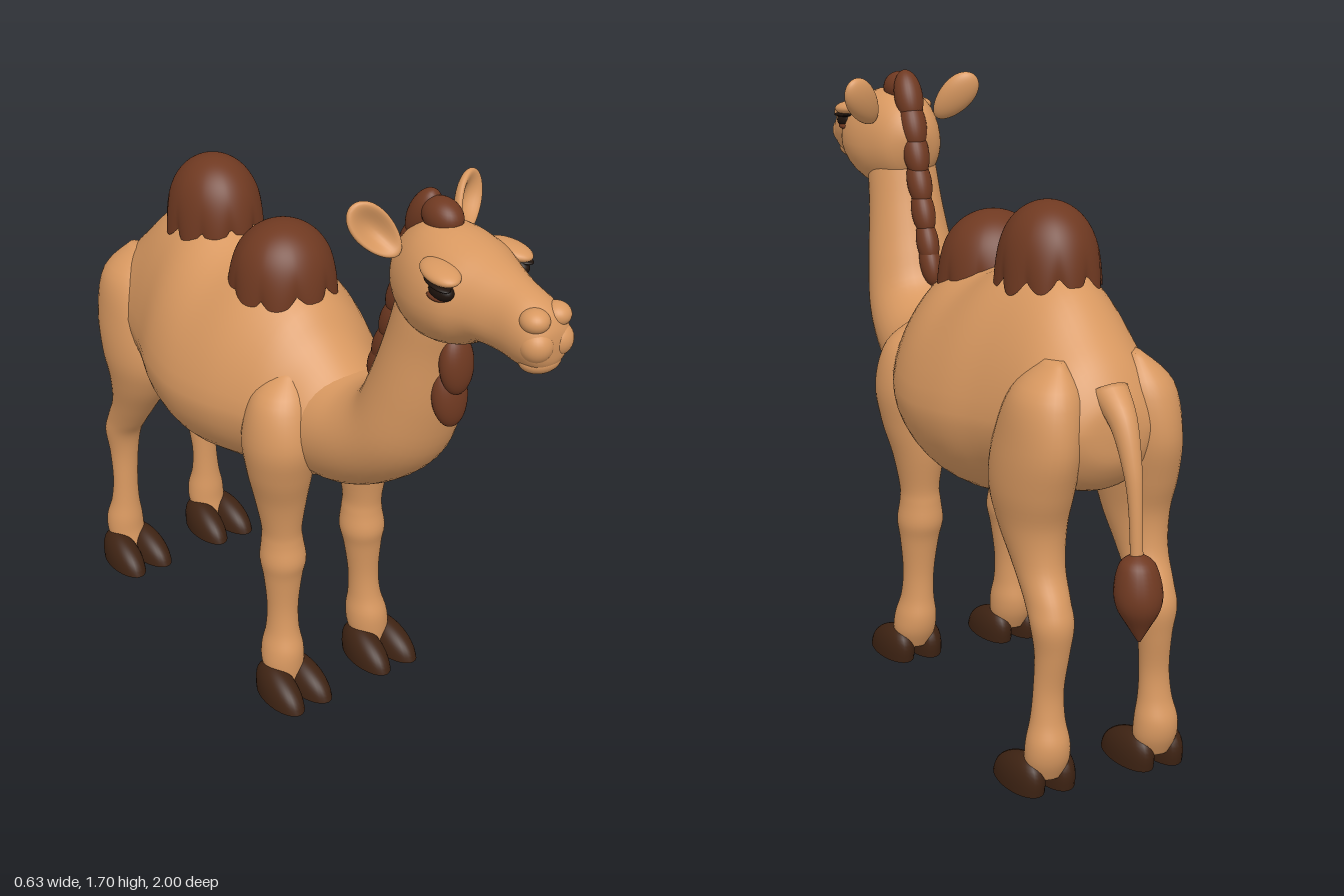
import * as THREE from 'three';
import { mergeVertices } from 'three/addons/utils/BufferGeometryUtils.js';

const mat = (name, color, side = THREE.FrontSide) => {
  const m = new THREE.MeshStandardMaterial({ color, side });
  m.name = name;
  return m;
};

// Smooth interpolation between number rows
function spline(rows, sub) {
  const out = [];
  const at = (i) => rows[Math.min(rows.length - 1, Math.max(0, i))];
  for (let i = 0; i < rows.length - 1; i++) {
    for (let s = 0; s < sub; s++) {
      const t = s / sub;
      out.push(rows[i].map((p1, k) => {
        const p0 = at(i - 1)[k], p2 = at(i + 1)[k], p3 = at(i + 2)[k];
        return 0.5 * (2 * p1 + (p2 - p0) * t + (2 * p0 - 5 * p1 + 4 * p2 - p3) * t * t
          + (3 * p1 - p0 - 3 * p2 + p3) * t * t * t);
      }));
    }
  }
  out.push(rows[rows.length - 1]);
  return out;
}

// Skin over rings [x, y, z, rx, rUp, rDown, tilt]; taper narrows the upper half
function loft(rows, taper = 0, n = 36, sub = 5) {
  const rings = spline(rows, sub), pos = [], idx = [];
  for (const [x, y, z, rx, up, down, tilt] of rings) {
    for (let j = 0; j < n; j++) {
      const a = (j / n) * Math.PI * 2, s = Math.sin(a);
      const w = Math.max(rx, 0.002) * Math.cos(a) * (1 - taper * Math.max(0, s));
      const h = s * Math.max(s > 0 ? up : down, 0.002);
      pos.push(x + w, y + h * Math.cos(tilt), z + h * Math.sin(tilt));
    }
  }
  for (let i = 0; i < rings.length - 1; i++) {
    for (let j = 0; j < n; j++) {
      const a = i * n + j, b = i * n + (j + 1) % n;
      idx.push(a, b, a + n, b, b + n, a + n);
    }
  }
  // End caps
  const last = (rings.length - 1) * n, c = pos.length / 3;
  pos.push(...rings[0].slice(0, 3), ...rings[rings.length - 1].slice(0, 3));
  for (let j = 0; j < n; j++) {
    const k = (j + 1) % n;
    idx.push(c, k, j, c + 1, last + j, last + k);
  }
  const g = new THREE.BufferGeometry();
  g.setAttribute('position', new THREE.Float32BufferAttribute(pos, 3));
  g.setIndex(idx);
  g.computeVertexNormals();
  return g;
}

// Move vertices by a rule, then weld and smooth
function reshape(geo, rule) {
  geo.deleteAttribute('normal');
  geo.deleteAttribute('uv');
  const p = geo.attributes.position, v = new THREE.Vector3();
  for (let i = 0; i < p.count; i++) {
    rule(v.fromBufferAttribute(p, i));
    p.setXYZ(i, v.x, v.y, v.z);
  }
  const g = mergeVertices(geo, 1e-5);
  g.computeVertexNormals();
  return g;
}

export function createModel() {
  const model = new THREE.Group();
  model.name = 'camel';
  const coat = mat('coat', 0xd89860);
  const hair = mat('hair', 0x6f3921, THREE.DoubleSide);
  const horn = mat('hoof', 0x3e2313);
  const dark = mat('eye', 0x1e130d);
  const ball = new THREE.SphereGeometry(1, 28, 20);

  const add = (name, geo, material) => {
    const m = new THREE.Mesh(geo, material);
    m.name = name;
    model.add(m);
    return m;
  };
  const blob = (name, material, p, r, rot = [0, 0, 0], geo = ball) => {
    const m = add(name, geo, material);
    m.position.set(...p);
    m.scale.set(...r);
    m.rotation.set(...rot);
    return m;
  };
  const alongZ = ([z, mid, top, bot, w]) => [0, mid, z, w, top - mid, mid - bot, 0];

  // Torso: z, widest height, top, bottom, half width
  add('torso', loft([
    [-0.81, 0.96, 0.98, 0.94, 0.02], [-0.8, 0.96, 1.04, 0.87, 0.1], [-0.75, 0.96, 1.12, 0.8, 0.17],
    [-0.68, 0.96, 1.19, 0.77, 0.2], [-0.58, 0.95, 1.28, 0.74, 0.22], [-0.48, 0.94, 1.32, 0.7, 0.25],
    [-0.36, 0.93, 1.32, 0.655, 0.295], [-0.22, 0.92, 1.27, 0.64, 0.315], [-0.08, 0.92, 1.27, 0.66, 0.295],
    [0.05, 0.92, 1.21, 0.685, 0.245], [0.13, 0.9, 1.13, 0.7, 0.21], [0.2, 0.9, 1.07, 0.72, 0.18],
    [0.26, 0.9, 1.03, 0.75, 0.13], [0.3, 0.9, 0.98, 0.82, 0.06],
  ].map(alongZ), 0.18, 48), coat);

  // Neck: height, z, half width, half depth, tilt
  add('neck', loft([
    [0.89, 0.1, 0.17, 0.17, 0], [0.89, 0.22, 0.17, 0.165, -0.2], [0.93, 0.345, 0.165, 0.145, -0.55],
    [1.015, 0.45, 0.15, 0.135, -0.95], [1.14, 0.5, 0.132, 0.122, -1.2], [1.285, 0.535, 0.113, 0.106, -1.4],
    [1.41, 0.565, 0.102, 0.1, -1.4], [1.54, 0.58, 0.08, 0.08, -1.45],
  ].map(([y, z, w, d, t]) => [0, y, z, w, d, d, t])), coat);

  // Head
  add('head', loft([
    [0.44, 1.5, 1.52, 1.46, 0.02], [0.48, 1.48, 1.585, 1.38, 0.085], [0.55, 1.47, 1.63, 1.335, 0.122],
    [0.63, 1.47, 1.635, 1.33, 0.142], [0.71, 1.475, 1.62, 1.35, 0.138], [0.78, 1.48, 1.6, 1.385, 0.108],
    [0.85, 1.475, 1.58, 1.385, 0.085], [0.92, 1.47, 1.56, 1.375, 0.078], [0.965, 1.46, 1.535, 1.385, 0.068],
    [0.987, 1.46, 1.5, 1.41, 0.045], [0.993, 1.46, 1.47, 1.45, 0.01],
  ].map(alongZ)), coat);
  blob('chin', coat, [0, 1.405, 0.94], [0.058, 0.034, 0.046]);

  // Cupped ear
  const earGeo = reshape(new THREE.SphereGeometry(1, 32, 24), (v) => {
    if (v.z > 0) v.z *= 1 - 1.6 * v.z * v.z;
    v.x *= 1 + 0.15 * v.y;
  });
  // Hoof toe with a flat sole
  const toeGeo = reshape(new THREE.SphereGeometry(1, 28, 24), (v) => {
    const y = v.y > 0 ? Math.pow(v.y, 0.75) : 0;
    v.z -= 0.2 * y;
    v.y = y * (1 - 0.2 * v.z);
  });

  // Leg rings: height, x, z, half width, half depth
  const foreleg = [
    [1.05, 0.13, 0.1, 0.02, 0.03], [0.98, 0.15, 0.11, 0.085, 0.085], [0.86, 0.165, 0.115, 0.1, 0.115],
    [0.75, 0.16, 0.11, 0.092, 0.1], [0.65, 0.15, 0.1, 0.075, 0.08], [0.55, 0.147, 0.1, 0.058, 0.062],
    [0.5, 0.145, 0.1, 0.06, 0.063], [0.44, 0.145, 0.103, 0.067, 0.07], [0.38, 0.147, 0.105, 0.057, 0.057],
    [0.28, 0.15, 0.107, 0.046, 0.047], [0.2, 0.153, 0.11, 0.048, 0.052], [0.14, 0.157, 0.115, 0.06, 0.066],
    [0.09, 0.16, 0.12, 0.062, 0.064], [0.04, 0.16, 0.13, 0.05, 0.05],
  ];
  const hindleg = [
    [1.13, 0.11, -0.68, 0.02, 0.04], [1.05, 0.13, -0.68, 0.085, 0.11], [0.92, 0.143, -0.66, 0.1, 0.155],
    [0.8, 0.15, -0.64, 0.1, 0.148], [0.7, 0.15, -0.645, 0.085, 0.113], [0.6, 0.15, -0.685, 0.066, 0.08],
    [0.52, 0.15, -0.735, 0.058, 0.07], [0.46, 0.15, -0.765, 0.057, 0.058], [0.38, 0.15, -0.767, 0.046, 0.045],
    [0.28, 0.155, -0.76, 0.041, 0.037], [0.2, 0.158, -0.762, 0.046, 0.043], [0.14, 0.16, -0.768, 0.058, 0.056],
    [0.09, 0.16, -0.765, 0.06, 0.056], [0.04, 0.16, -0.75, 0.05, 0.05],
  ];

  for (const [side, s] of [['left', 1], ['right', -1]]) {
    // Legs and hooves
    for (const [name, rows, hoofZ] of [['Foreleg', foreleg, 0.175], ['HindLeg', hindleg, -0.7]]) {
      add(side + name, loft(rows.map(([y, x, z, w, d]) => [s * x, y, z, w, d, d, Math.PI / 2])), coat);
      for (const t of [-1, 1]) {
        blob(side + name + 'Toe', horn, [s * 0.162 + t * 0.047, 0, hoofZ], [0.051, 0.088, 0.106],
          [0, t * 0.05, 0], toeGeo);
      }
    }
    // Ear
    blob(side + 'Ear', coat, [s * 0.15, 1.613, 0.5], [0.05, 0.088, 0.03], [-0.25, s * 0.35, -s * 0.62], earGeo);
    // Eye, lid and lashes
    blob(side + 'Eye', dark, [s * 0.117, 1.528, 0.715], [0.027, 0.025, 0.042], [0, s * 0.15, 0]);
    blob(side + 'LowerLashes', hair, [s * 0.12, 1.512, 0.705], [0.024, 0.012, 0.036], [0, s * 0.15, 0]);
    blob(side + 'UpperLashes', dark, [s * 0.127, 1.547, 0.71], [0.024, 0.008, 0.05], [0.1, s * 0.15, 0]);
    blob(side + 'Brow', coat, [s * 0.11, 1.568, 0.7], [0.042, 0.021, 0.068], [0.1, s * 0.15, -s * 0.1]);
    // Nostril and lip
    blob(side + 'Nostril', coat, [s * 0.034, 1.517, 0.95], [0.036, 0.03, 0.038]);
    blob(side + 'Lip', coat, [s * 0.032, 1.457, 0.957], [0.042, 0.044, 0.043]);
  }

  // Hair caps on the humps, with a scalloped hem
  const hump = (name, z, top, base, rx, rz, lobes) => add(name, reshape(
    new THREE.SphereGeometry(1, 108, 28, 0, Math.PI * 2, 0, Math.PI / 2), (v) => {
      const r = Math.hypot(v.x, v.z), phi = Math.atan2(v.x, v.z);
      const lobe = Math.abs(Math.cos(phi * lobes / 2)), edge = Math.pow(1 - v.y, 3);
      const sidewards = r > 0 ? (v.x / r) ** 2 : 0;
      const k = 1 + edge * (0.09 * lobe - 0.05);
      v.set(v.x * rx * k, base + v.y * (top - base) - edge * (0.035 * lobe + 0.025 * sidewards), z + v.z * rz * k);
    }), hair);
  hump('frontHumpHair', -0.09, 1.39, 1.225, 0.153, 0.15, 9);
  hump('rearHumpHair', -0.425, 1.476, 1.305, 0.135, 0.152, 10);

  // Mane tufts down the back of the neck: height, z
  [[1.62, 0.505], [1.54, 0.475], [1.46, 0.452], [1.375, 0.428], [1.29, 0.4], [1.205, 0.37], [1.145, 0.35]]
    .forEach(([y, z], i) => blob('maneTuft', hair, [0, y, z],
      [0.043 - i * 0.002, 0.082 - i * 0.002, 0.042 - i * 0.001], [0.42, 0, 0]));
  blob('forelock', hair, [0, 1.64, 0.575], [0.046, 0.047, 0.062], [0.15, 0, 0]);

  // Throat tufts
  blob('throatTuft', hair, [0, 1.265, 0.65], [0.05, 0.085, 0.036], [-0.1, 0, 0]);
  blob('throatTuft', hair, [0, 1.17, 0.628], [0.053, 0.092, 0.038], [-0.15, 0, 0]);

  // Tail with a pointed tuft
  add('tail', loft([
    [1.06, -0.76, 0.05, 2.2], [1.0, -0.84, 0.036, 2.25], [0.9, -0.888, 0.025, 1.9],
    [0.8, -0.91, 0.018, 1.7], [0.64, -0.925, 0.016, 1.6],
  ].map(([y, z, r, t]) => [0, y, z, r, r, r, t]), 0, 20), coat);
  add('tailTuft', loft([
    [0.685, -0.925, 0.012], [0.66, -0.927, 0.045], [0.6, -0.933, 0.061], [0.55, -0.938, 0.056],
    [0.5, -0.942, 0.028], [0.46, -0.945, 0.004],
  ].map(([y, z, r]) => [0, y, z, r, r, r, Math.PI / 2]), 0, 24), hair);

  return model;
}
